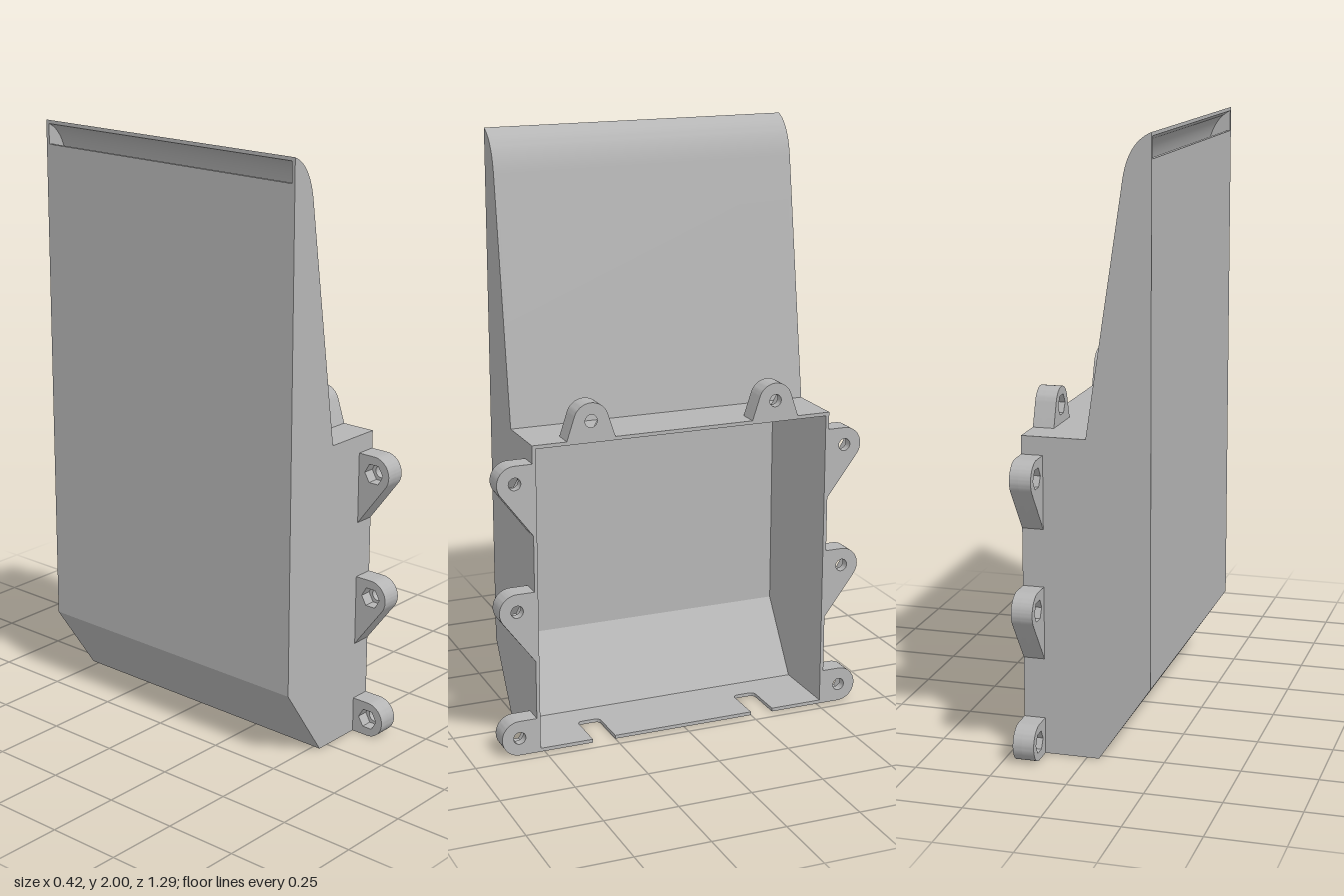
import * as THREE from 'three';
import { toCreasedNormals } from 'three/addons/utils/BufferGeometryUtils.js';

const T = 0.012;        // wall thickness
const HALF = 0.525;     // half width of the duct
const FRONT = 0.21;     // plane of the large opening
const R = 0.06;         // lug radius

export function createModel() {
  const group = new THREE.Group();
  const grey = new THREE.MeshStandardMaterial({ color: 0xb5b5b5 });
  grey.name = 'grey plastic';

  const v = (x, y) => new THREE.Vector2(x, y);
  const add = (name, geometry) => {
    const mesh = new THREE.Mesh(toCreasedNormals(geometry, 0.5), grey);
    mesh.name = name;
    group.add(mesh);
    return mesh;
  };
  const extrude = (shape, depth) =>
    new THREE.ExtrudeGeometry(shape, { depth, bevelEnabled: false, curveSegments: 24 });

  // Rounded hood, from its sloping front up to the outlet edge
  const hood = (a, c, b) => new THREE.QuadraticBezierCurve(a, c, b).getPoints(14);
  const outerHood = hood(v(-0.12, 1.86), v(-0.137, 1.97), v(-0.21, 2));
  const innerHood = hood(v(-0.132, 1.858), v(-0.148, 1.96), v(-0.21, 1.988));

  // Side walls: the full profile as thin plates
  const profile = new THREE.Shape([
    v(FRONT, 0), v(FRONT, 1.05), v(0, 1.05), ...outerHood, v(-0.21, 0.25), v(-0.04, 0),
  ]);
  for (const z of [HALF - T, -HALF]) add('sideWall', extrude(profile, T).translate(0, 0, z));

  // Walls running across the width
  const span = 2 * (HALF - T);
  const across = (name, points) =>
    add(name, extrude(new THREE.Shape(points), span).translate(0, 0, -span / 2));
  across('roofAndHood', [
    v(FRONT, 1.05), v(0, 1.05), ...outerHood,
    ...innerHood.reverse(), v(-0.01, 1.05 - T), v(FRONT, 1.05 - T),
  ]);
  across('backWall', [
    v(-0.04, 0), v(-0.21, 0.25), v(-0.21, 1.92),
    v(-0.21 + T, 1.92), v(-0.21 + T, 0.254), v(-0.034, T),
  ]);

  // Floor with two slots cut in from the open edge
  const floor = new THREE.Shape();
  const end = 0.06, r = 0.02;
  floor.moveTo(-0.04, -span / 2);
  floor.lineTo(FRONT, -span / 2);
  for (const a of [-0.33, 0.25]) {
    const b = a + 0.08;
    floor.lineTo(FRONT, a);
    floor.lineTo(end + r, a);
    floor.quadraticCurveTo(end, a, end, a + r);
    floor.lineTo(end, b - r);
    floor.quadraticCurveTo(end, b, end + r, b);
    floor.lineTo(FRONT, b);
  }
  floor.lineTo(FRONT, span / 2);
  floor.lineTo(-0.04, span / 2);
  add('floor', extrude(floor, T).rotateX(-Math.PI / 2));

  // Screw lug: arc about (cx, cy) closed by base points, hex nut pocket behind
  const lug = (name, cx, cy, from, to, base, mirror) => {
    const place = (x, y) => v(mirror * (cx + x), cy + y);
    const ring = (radius, n, a0, a1) => Array.from({ length: n + 1 }, (_, i) => {
      const a = a0 + (a1 - a0) * i / n;
      return place(radius * Math.cos(a), radius * Math.sin(a));
    });
    const layer = (part, x, depth, holeRadius, sides) => {
      const shape = new THREE.Shape([...ring(R, 24, from, to), ...base.map(p => place(...p))]);
      shape.holes.push(new THREE.Path(ring(holeRadius, sides, 0, 2 * Math.PI).slice(0, -1)));
      add(name + part, extrude(shape, depth).rotateY(Math.PI / 2).translate(x, 0, 0));
    };
    layer('Face', 0.18, 0.03, 0.021, 24);
    layer('NutPocket', 0.14, 0.04, 0.036, 6);
  };

  const up = Math.PI / 2;
  for (const s of [1, -1]) {
    // Upper side lugs have a sloping gusset, the lowest is straight
    for (const y of [0.5, 0.93])
      lug('sideLug', HALF + R, y, up, -0.6435, [[-R, -0.18], [-R, R]], s);
    lug('bottomLug', HALF + R, R, up, -up, [[-R, -R], [-R, R]], s);
    // Lugs standing on the roof
    lug('topLug', 0.325, 1.11, 0.314, Math.PI - 0.314, [[-0.083, -R], [0.083, -R]], s);
  }
  return group;
}
